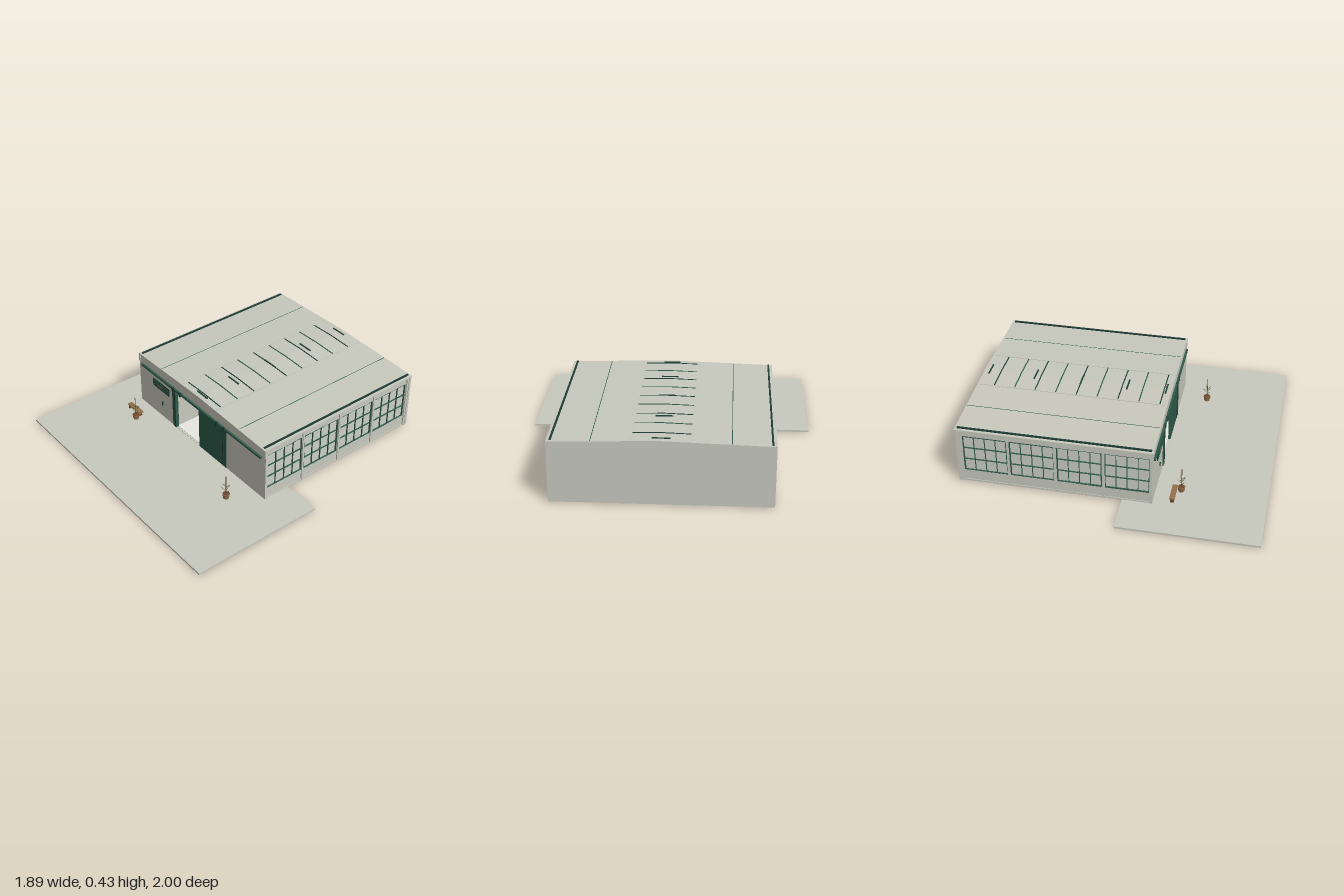
import * as THREE from 'three';

const mat = (name, color, side = THREE.FrontSide) => {
  const m = new THREE.MeshStandardMaterial({ color, side });
  m.name = name;
  return m;
};

export function createModel() {
  const root = new THREE.Group();
  root.name = 'workshopHall';
  const concrete = mat('concrete', 0xc8c9bd);
  const glass = mat('paleGlass', 0xcbd0c5);
  const white = mat('interiorWhite', 0xf2f2ec);
  const green = mat('green', 0x2f5a4a);
  const dark = mat('darkGreen', 0x1f3d34);
  const wood = mat('wood', 0x94704c);
  const darkWood = mat('darkWood', 0x6e4a30);
  const leaf = mat('leaf', 0x6f6a45, THREE.DoubleSide);

  const add = (name, geo, m, parent = root) => {
    const mesh = new THREE.Mesh(geo, m);
    mesh.name = name;
    parent.add(mesh);
    return mesh;
  };
  const box = (name, m, x0, x1, y0, y1, z0, z1, parent = root) => {
    const b = add(name, new THREE.BoxGeometry(x1 - x0, y1 - y0, z1 - z0), m, parent);
    b.position.set((x0 + x1) / 2, (y0 + y1) / 2, (z0 + z1) / 2);
    return b;
  };
  const rod = (name, m, a, b, r, parent = root) => {
    const p = new THREE.Vector3(...a), q = new THREE.Vector3(...b), d = q.clone().sub(p);
    const c = add(name, new THREE.CylinderGeometry(r, r, d.length(), 6), m, parent);
    c.position.copy(p.add(q).multiplyScalar(0.5));
    c.quaternion.setFromUnitVectors(new THREE.Vector3(0, 1, 0), d.normalize());
    return c;
  };
  const extrude = (name, pts, depth, z, m) => {
    const shape = new THREE.Shape(pts.map(p => new THREE.Vector2(...p)));
    const e = add(name, new THREE.ExtrudeGeometry(shape, { depth, bevelEnabled: false }), m);
    e.position.z = z;
    return e;
  };
  const roofY = x => 0.43 - 0.022 * Math.abs(x) / 0.685;

  // Ground slabs
  box('forecourt', concrete, -0.945, 0.945, 0, 0.013, 0.085, 1);
  box('floorSlab', concrete, -0.675, 0.675, 0.002, 0.016, -0.99, 0.28);
  box('interiorFloor', white, -0.66, 0.66, 0.016, 0.018, -0.97, 0.265);

  // Front and back walls with gable tops
  extrude('frontWall', [[-0.685, 0.012], [-0.29, 0.012], [-0.29, 0.33], [0.29, 0.33], [0.29, 0.012],
    [0.685, 0.012], [0.685, 0.402], [0, 0.422], [-0.685, 0.402]], 0.018, 0.262, concrete);
  extrude('backWall', [[-0.685, 0.005], [0.685, 0.005], [0.685, 0.402], [0, 0.422], [-0.685, 0.402]],
    0.018, -0.995, concrete);
  box('backLining', white, -0.66, 0.66, 0.018, 0.4, -0.977, -0.972);

  // Side walls with four glazed bays each
  for (const s of [-1, 1]) {
    const side = new THREE.Group();
    side.name = s > 0 ? 'leftWall' : 'rightWall';
    root.add(side);
    const slab = (n, m, a, b, y0, y1, z0, z1) =>
      box(n, m, Math.min(s * a, s * b), Math.max(s * a, s * b), y0, y1, z0, z1, side);
    slab('sill', concrete, 0.66, 0.678, 0.005, 0.095, -0.99, 0.28);
    slab('header', concrete, 0.66, 0.678, 0.36, 0.405, -0.99, 0.28);
    slab('baseBand', concrete, 0.67, 0.682, 0.008, 0.022, -0.99, 0.28);
    for (const [z0, z1] of [[-0.995, -0.95], [-0.665, -0.645], [-0.358, -0.338], [-0.045, -0.025], [0.26, 0.28]])
      slab('wallPost', concrete, 0.66, 0.678, 0.09, 0.365, z0, z1);
    for (const z of [-0.965, -0.652, -0.348, -0.035, 0.273])
      slab('pilaster', concrete, 0.67, 0.686, 0.01, 0.4, z - 0.007, z + 0.007);
    for (let i = 0; i < 4; i++) {
      const z1 = 0.26 - i * 0.308, z0 = z1 - 0.285;
      slab('glass', glass, 0.665, 0.669, 0.09, 0.365, z0 - 0.02, z1 + 0.01);
      for (let k = 0; k <= 4; k++) {
        const z = z0 + (z1 - z0) * k / 4, w = k % 4 ? 0.0018 : 0.0035;
        slab('verticalBar', green, 0.667, 0.678, 0.095, 0.36, z - w, z + w);
      }
      for (let k = 0; k <= 3; k++) {
        const y = 0.095 + 0.265 * k / 3, w = k % 3 ? 0.0018 : 0.0035;
        slab('horizontalBar', green, 0.667, 0.678, y - w, y + w, z0, z1);
      }
    }
    // Gutter and roof seam
    slab('gutter', dark, 0.654, 0.665, 0.405, 0.42, -0.985, 0.272);
    slab('roofSeam', green, 0.418, 0.422, 0.41, 0.4185, -0.995, 0.278);
    slab('skylightEdge', concrete, 0.176, 0.184, 0.42, 0.428, -0.985, 0.272);
    slab('corner', concrete, 0.67, 0.686, 0.35, 0.405, 0.265, 0.285);
  }

  // Roof, skylight ribs and ridge caps
  extrude('roof', [[-0.685, 0.4], [0, 0.42], [0.685, 0.4], [0.685, 0.41], [0, 0.43], [-0.685, 0.41]], 1.285, -1, concrete);
  for (let i = 0; i < 9; i++) {
    const z = 0.235 - i * 0.14, t = 0.0035;
    extrude('skylightRib', [[-0.18, 0.418], [0, 0.425], [0.18, 0.418], [0.18, roofY(0.18) + 0.003],
      [0, 0.433], [-0.18, roofY(0.18) + 0.003]], 2 * t, z - t, i % 2 ? green : dark);
  }
  for (const z of [-0.96, -0.643, -0.325, -0.01, 0.25]) {
    box('ridgeCap', dark, -0.055, 0.055, 0.422, 0.4335, z - 0.005, z + 0.005);
    extrude('truss', [[-0.65, 0.375], [0, 0.395], [0.65, 0.375], [0.65, 0.385], [0, 0.405], [-0.65, 0.385]],
      0.01, Math.min(z, 0.245) - 0.005, green);
  }

  // Sliding door, track and folded leaf
  box('slidingDoor', green, 0, 0.292, 0.016, 0.322, 0.268, 0.284);
  for (const x of [0.255, 0.285]) box('doorStile', dark, x, x + 0.006, 0.016, 0.335, 0.283, 0.287);
  box('foldedLeaf', green, -0.297, -0.262, 0.016, 0.322, 0.262, 0.286);
  box('leafEdge', dark, -0.27, -0.262, 0.016, 0.335, 0.285, 0.289);
  box('doorTrack', green, -0.648, 0.648, 0.33, 0.344, 0.28, 0.294);
  for (const x of [-0.28, -0.2, 0.2, 0.275]) box('trackHanger', dark, x - 0.008, x + 0.008, 0.318, 0.348, 0.284, 0.296);

  // Wall sign plate and handle
  box('signFrame', dark, -0.522, -0.338, 0.233, 0.29, 0.28, 0.286);
  box('signPlate', green, -0.516, -0.344, 0.239, 0.284, 0.285, 0.289);
  box('signStripe', wood, -0.458, -0.405, 0.257, 0.265, 0.2885, 0.2905);
  box('doorHandle', dark, -0.422, -0.417, 0.112, 0.142, 0.28, 0.288);

  // Interior partition and mezzanine
  box('partition', concrete, -0.29, -0.268, 0.018, 0.33, -0.25, 0.262);
  box('mezzanineDeck', green, -0.66, 0.66, 0.205, 0.222, -0.97, -0.55);
  for (const y of [0.25, 0.28, 0.31]) box('railing', green, -0.66, 0.66, y - 0.002, y + 0.002, -0.555, -0.55);
  for (let i = 0; i <= 12; i++) {
    const x = -0.63 + i * 0.105;
    box('railPost', green, x - 0.002, x + 0.002, 0.22, 0.312, -0.556, -0.55);
  }
  for (const x of [-0.255, 0.255]) box('mezzaninePost', green, x - 0.006, x + 0.006, 0.018, 0.206, -0.57, -0.555);
  box('upperShelf', darkWood, -0.11, 0.1, 0.287, 0.294, -0.85, -0.75);
  for (const x of [-0.09, 0.08]) box('shelfLeg', darkWood, x - 0.004, x + 0.004, 0.222, 0.288, -0.81, -0.8);

  // Workbench with a framed panel on top
  box('benchTop', wood, -0.18, 0.16, 0.08, 0.09, -0.2, -0.06);
  box('benchShelf', darkWood, -0.155, 0.14, 0.034, 0.04, -0.19, -0.07);
  for (const x of [-0.155, -0.02, 0.13])
    for (const z of [-0.185, -0.075]) box('benchLeg', darkWood, x - 0.006, x + 0.006, 0.018, 0.082, z - 0.006, z + 0.006);
  box('panelFrame', dark, -0.1, -0.035, 0.092, 0.142, -0.15, -0.135);
  box('panelFace', white, -0.093, -0.042, 0.099, 0.136, -0.136, -0.133);
  box('panelCore', green, -0.075, -0.058, 0.106, 0.127, -0.134, -0.131);

  // Stool and pendant lamps
  const stool = add('stoolSeat', new THREE.CylinderGeometry(0.02, 0.02, 0.006, 12), darkWood);
  stool.position.set(-0.232, 0.066, 0);
  for (let i = 0; i < 4; i++) {
    const a = Math.PI / 4 + i * Math.PI / 2, c = Math.cos(a), d = Math.sin(a);
    rod('stoolLeg', dark, [-0.232 + c * 0.022, 0.018, d * 0.022], [-0.232 + c * 0.014, 0.064, d * 0.014], 0.002);
  }
  for (const x of [-0.14, 0.14]) {
    rod('lampCord', dark, [x, 0.3, -0.12], [x, 0.4, -0.12], 0.0012);
    const shade = add('lampShade', new THREE.ConeGeometry(0.025, 0.022, 12), green);
    shade.position.set(x, 0.293, -0.12);
  }

  // Outdoor bench
  box('outdoorSeat', wood, -0.657, -0.512, 0.043, 0.05, 0.385, 0.42);
  for (const x of [-0.645, -0.53]) box('outdoorLeg', darkWood, x - 0.004, x + 0.004, 0.013, 0.044, 0.389, 0.416);

  // Potted plants
  for (const [x, z] of [[-0.522, 0.443], [0.518, 0.462]]) {
    const plant = new THREE.Group();
    plant.name = 'pottedPlant';
    plant.position.set(x, 0.013, z);
    root.add(plant);
    add('pot', new THREE.CylinderGeometry(0.025, 0.019, 0.034, 10), wood, plant).position.y = 0.017;
    add('soil', new THREE.CylinderGeometry(0.021, 0.021, 0.004, 10), darkWood, plant).position.y = 0.0335;
    rod('stem', darkWood, [0, 0.03, 0], [0, 0.178, 0], 0.0022, plant);
    for (let i = 0; i < 7; i++) {
      const a = i * 2.4, y = 0.045 + i * 0.008, r = 0.03 - i * 0.001;
      rod('twig', leaf, [0, y, 0], [Math.cos(a) * r, y + 0.03, Math.sin(a) * r], 0.0016, plant);
    }
  }
  return root;
}
